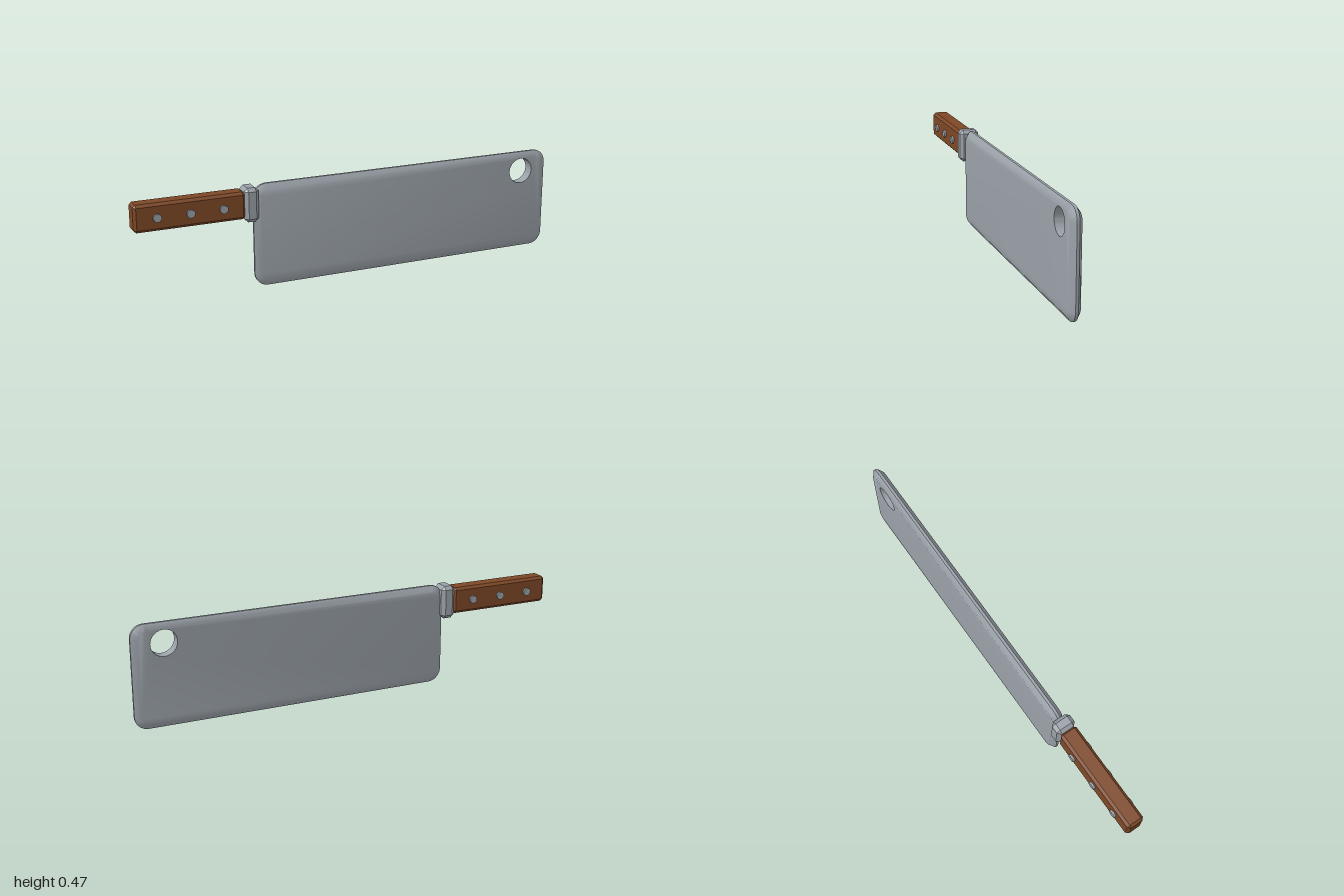
import * as THREE from 'three';
import { mergeGeometries, toCreasedNormals } from 'three/addons/utils/BufferGeometryUtils.js';
import { ConvexGeometry } from 'three/addons/geometries/ConvexGeometry.js';

const steel = new THREE.MeshStandardMaterial({ color: 0x9aa1a8 });
steel.name = 'steel';
const wood = new THREE.MeshStandardMaterial({ color: 0x7d4827 });
wood.name = 'wood';

// Rounded rectangle outline, counter-clockwise, shrunk by an inset
function roundedLoop(x0, y0, x1, y1, radius, inset, steps = 8) {
  const r = radius - inset;
  const centres = [[x1 - radius, y0 + radius], [x1 - radius, y1 - radius],
    [x0 + radius, y1 - radius], [x0 + radius, y0 + radius]];
  const points = [];
  centres.forEach(([cx, cy], k) => {
    for (let i = 0; i <= steps; i++) {
      const a = (k - 1 + i / steps) * Math.PI / 2;
      points.push(new THREE.Vector2(cx + r * Math.cos(a), cy + r * Math.sin(a)));
    }
  });
  return points;
}

// Surface joining loops, listed from front to back
function band(levels) {
  const pos = [];
  const n = levels[0].loop.length;
  for (let l = 0; l < levels.length - 1; l++) {
    for (let i = 0; i < n; i++) {
      const at = (level, k) => [level.loop[k % n].x, level.loop[k % n].y, level.z];
      const a = at(levels[l], i), b = at(levels[l], i + 1);
      const c = at(levels[l + 1], i), d = at(levels[l + 1], i + 1);
      pos.push(...a, ...c, ...b, ...b, ...c, ...d);
    }
  }
  const g = new THREE.BufferGeometry();
  g.setAttribute('position', new THREE.Float32BufferAttribute(pos, 3));
  return g;
}

// Blade with bevelled rim and a straight-walled hanging hole
function bladeGeometry() {
  const half = 0.025, edge = 0.006;
  const outline = inset => roundedLoop(-0.465, 0, 1, 0.466, 0.06, inset);
  const inner = outline(0.026), outer = outline(0);
  const hole = [];
  for (let i = 0; i < 40; i++) {
    const a = -i / 40 * Math.PI * 2;
    hole.push(new THREE.Vector2(0.861 + 0.059 * Math.cos(a), 0.379 + 0.059 * Math.sin(a)));
  }
  const shape = new THREE.Shape(inner);
  shape.holes.push(new THREE.Path(hole));
  const face = new THREE.ShapeGeometry(shape).toNonIndexed();
  face.deleteAttribute('uv');
  face.deleteAttribute('normal');
  const front = face.clone().translate(0, 0, half);
  const back = face.clone().translate(0, 0, -half);
  const p = back.attributes.position;
  for (let i = 0; i < p.count; i += 3) {      // flip the back face
    const [x, y] = [p.getX(i), p.getY(i)];
    p.setXY(i, p.getX(i + 1), p.getY(i + 1));
    p.setXY(i + 1, x, y);
  }
  const rim = band([{ loop: inner, z: half }, { loop: outer, z: edge },
    { loop: outer, z: -edge }, { loop: inner, z: -half }]);
  const wall = band([{ loop: hole, z: half }, { loop: hole, z: -half }]);
  const merged = mergeGeometries([front, back, rim, wall]);
  merged.computeVertexNormals();
  return toCreasedNormals(merged, 0.75);
}

// Box with every edge cut at 45 degrees
function chamferedBox(w, h, d, c) {
  const points = [];
  for (const sx of [-1, 1]) for (const sy of [-1, 1]) for (const sz of [-1, 1]) {
    for (let axis = 0; axis < 3; axis++) {
      const size = [w / 2, h / 2, d / 2].map((s, i) => (i === axis ? s : s - c));
      points.push(new THREE.Vector3(sx * size[0], sy * size[1], sz * size[2]));
    }
  }
  return new ConvexGeometry(points);
}

export function createModel() {
  const model = new THREE.Group();
  model.name = 'cleaver';
  const add = (name, geometry, material, x = 0, y = 0, z = 0) => {
    const mesh = new THREE.Mesh(geometry, material);
    mesh.name = name;
    mesh.position.set(x, y, z);
    model.add(mesh);
    return mesh;
  };

  add('blade', bladeGeometry(), steel);
  add('bolster', chamferedBox(0.066, 0.153, 0.092, 0.016), steel, -0.482, 0.385, 0);
  add('handle', chamferedBox(0.49, 0.122, 0.08, 0.012), wood, -0.755, 0.387, 0);

  // Rivets pass through the handle and stand proud on both sides
  for (const x of [-0.9, -0.755, -0.61]) {
    add('rivet', new THREE.CylinderGeometry(0.018, 0.018, 0.1, 16), steel, x, 0.385, 0)
      .rotation.x = Math.PI / 2;
  }
  return model;
}
